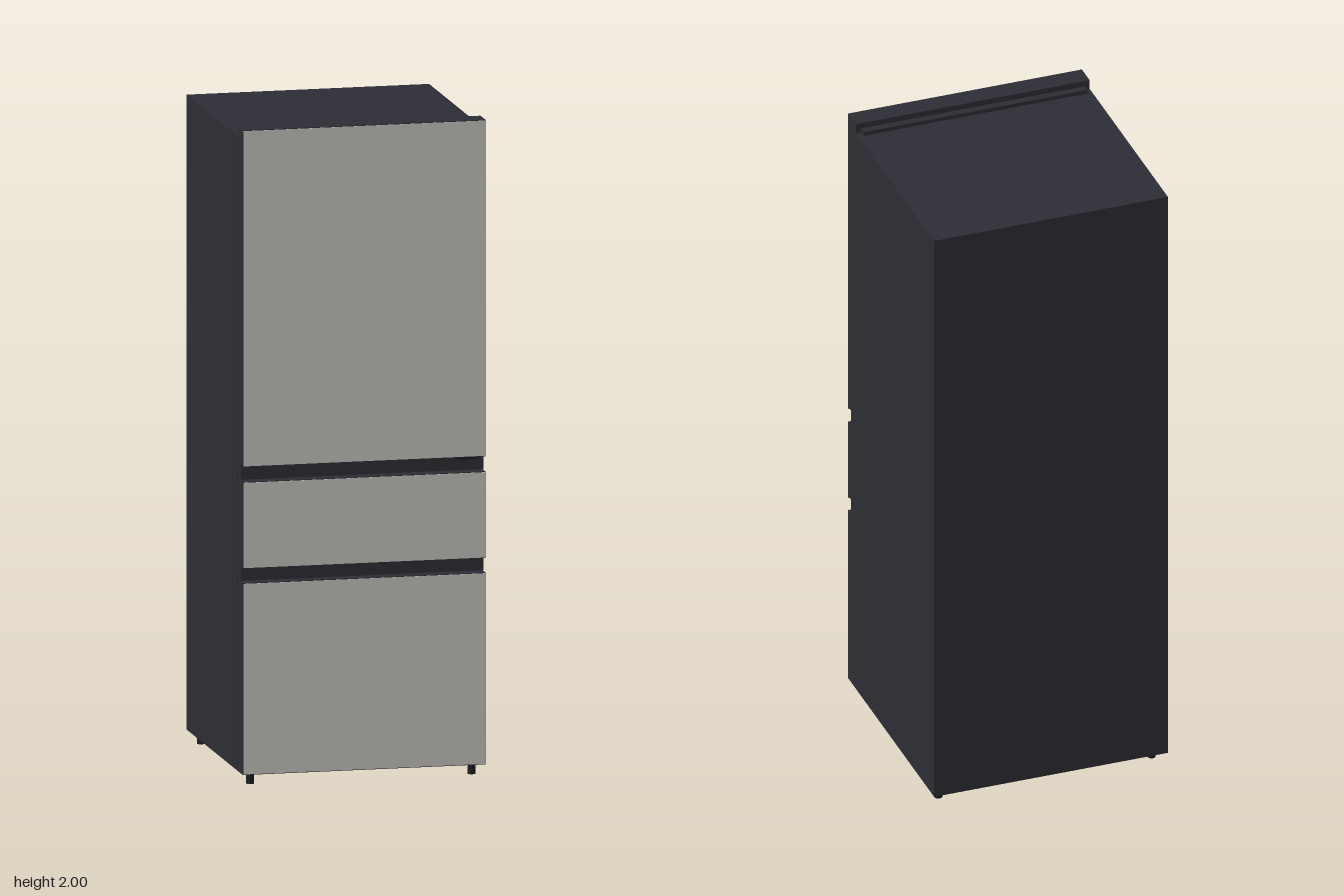
import * as THREE from 'three';

const charcoal = new THREE.MeshStandardMaterial({ color: 0x2d2d35 });
charcoal.name = 'charcoal';
const panelGrey = new THREE.MeshStandardMaterial({ color: 0xc8c6c0 });
panelGrey.name = 'panelGrey';
const black = new THREE.MeshStandardMaterial({ color: 0x1c1c20 });
black.name = 'footBlack';

const HALF = 0.373;
const DOOR_BACK = 0.303, DOOR_FRONT = 0.37, GRIP_BACK = 0.343;

function add(group, name, geometry, material, x = 0, y = 0, z = 0) {
  const mesh = new THREE.Mesh(geometry, material);
  mesh.name = name;
  mesh.position.set(x, y, z);
  group.add(mesh);
  return mesh;
}

// Box given by its lower and upper limits
function box(group, name, material, [x0, x1], [y0, y1], [z0, z1]) {
  return add(group, name, new THREE.BoxGeometry(x1 - x0, y1 - y0, z1 - z0), material,
    (x0 + x1) / 2, (y0 + y1) / 2, (z0 + z1) / 2);
}

// Door: side profile extruded across the width, with an optional grip recess along its bottom
function door(group, name, bottom, top, grip) {
  const profile = [[DOOR_BACK, bottom]];
  if (grip) {
    profile.push([GRIP_BACK, bottom], [GRIP_BACK, grip + 0.006], [0.358, grip + 0.006], [0.364, grip]);
  }
  profile.push([DOOR_FRONT, grip || bottom], [DOOR_FRONT, top], [DOOR_BACK, top]);
  const shape = new THREE.Shape(profile.map(([z, y]) => new THREE.Vector2(-z, y)));
  const geometry = new THREE.ExtrudeGeometry(shape, { depth: 2 * HALF, bevelEnabled: false });
  geometry.translate(0, 0, -HALF);
  geometry.rotateY(Math.PI / 2);
  add(group, name, geometry, charcoal);
  // Light front panel with a narrow dark border
  box(group, name + 'Panel', panelGrey, [-HALF + 0.002, HALF - 0.002],
    [(grip || bottom) + 0.002, top - 0.002], [DOOR_FRONT - 0.001, DOOR_FRONT + 0.002]);
}

export function createModel() {
  const group = new THREE.Group();
  group.name = 'refrigerator';

  // Cabinet and the hinge cover behind the top door
  box(group, 'cabinet', charcoal, [-HALF, HALF], [0.035, 1.97], [-0.373, 0.3]);
  box(group, 'doorSeal', black, [-HALF + 0.008, HALF - 0.008], [0.042, 1.96], [0.299, 0.304]);
  box(group, 'hingeCover', charcoal, [-0.357, 0.357], [1.968, 1.982], [0.279, 0.303]);

  // Doors and drawers
  door(group, 'lowerDrawer', 0.035, 0.62);
  door(group, 'middleDrawer', 0.622, 0.928, 0.664);
  door(group, 'upperDoor', 0.93, 2.0, 0.974);

  // Small control under the upper grip
  box(group, 'gripControl', black, [0.29, 0.35], [0.964, 0.982], [0.344, 0.358]);

  // Feet
  for (const x of [-0.34, 0.34]) {
    for (const z of [-0.32, 0.325]) {
      add(group, 'foot', new THREE.CylinderGeometry(0.012, 0.012, 0.037, 20), black, x, 0.0185, z);
    }
  }
  return group;
}
